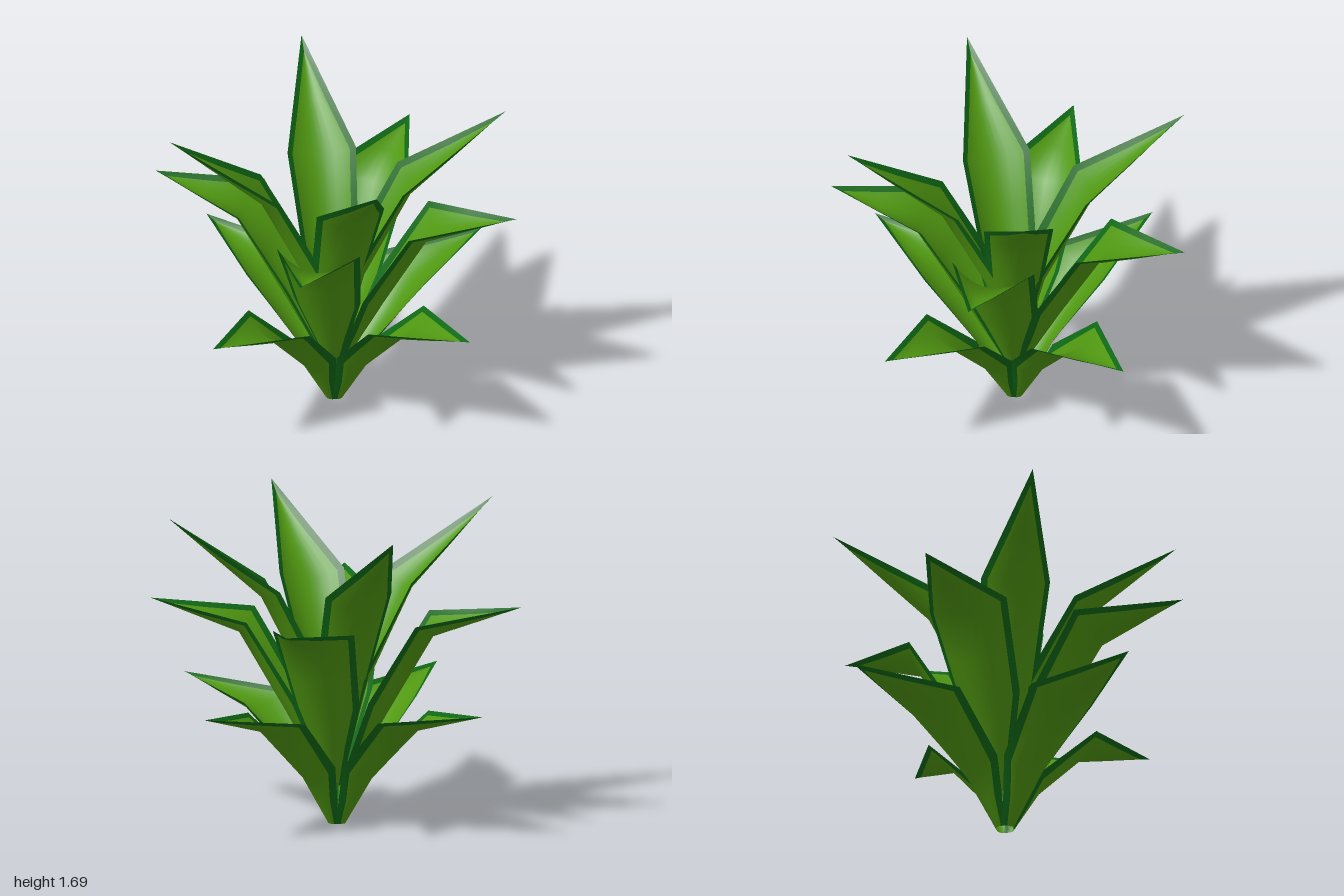
import * as THREE from 'three';

const leafGreen = new THREE.MeshStandardMaterial({ color: 0x509811, side: THREE.DoubleSide });
leafGreen.name = 'leafGreen';
const rimGreen = new THREE.MeshStandardMaterial({ color: 0x0f6816, side: THREE.DoubleSide });
rimGreen.name = 'rimGreen';

const RIM = 0.03;

// Each row: spine radius, spine height, edge radius, edge height, half width.
// angles are the headings of the four leaves in degrees, from +x towards +z.
const rings = [
  {
    name: 'lowerLeaf', angles: [29.2, 116.6, 212.7, 309.3],
    rows: [[0.05, 0, 0.025, 0, 0.04], [0.21, 0.25, 0.15, 0.34, 0.14], [0.52, 0.56, 0.45, 0.63, 0.215], [0.99, 0.7, 0.99, 0.7, 0]],
  },
  {
    name: 'middleLeaf', angles: [-0.6, 86.5, 183.4, 279.7],
    rows: [[0.05, 0.2, 0.025, 0.22, 0.04], [0.27, 0.6, 0.2, 0.69, 0.18], [0.52, 1.03, 0.46, 1.12, 0.225], [0.995, 1.2, 0.995, 1.2, 0]],
  },
  {
    name: 'upperLeaf', angles: [-18.4, 61.7, 149, 245],
    rows: [[0.05, 0.3, 0.025, 0.32, 0.04], [0.16, 0.74, 0.1, 0.83, 0.15], [0.41, 1.24, 0.35, 1.3, 0.185], [0.915, 1.69, 0.915, 1.69, 0]],
  },
];

// A cupped blade pointing along +x, with a dark band along both edges.
function leafGeometry([base, belly, shoulder, tip]) {
  const mix = (a, b, k) => a.map((v, i) => v + (b[i] - v) * k);
  const rows = [base, mix(base, belly, 0.5), belly, mix(belly, shoulder, 0.5), shoulder,
    mix(shoulder, tip, 0.45), mix(shoulder, tip, 0.86), tip];
  const inner = 8;
  const cols = inner + 3;
  const positions = [];
  rows.forEach(([sr, sy, er, ey, w], r) => {
    const band = r === 0 ? 0.55 : w > 0 ? Math.max(0.02, 1 - RIM / w) : 0;
    for (let c = 0; c < cols; c++) {
      const t = c === 0 ? -1 : c === cols - 1 ? 1 : band * (2 * (c - 1) / inner - 1);
      positions.push(sr + (er - sr) * t * t, sy + (ey - sy) * t * t, w * t);
    }
  });
  const green = [];
  const rim = [];
  for (let r = 0; r < rows.length - 1; r++) {
    for (let c = 0; c < cols - 1; c++) {
      const a = r * cols + c;
      const b = a + cols;
      const isTip = r === rows.length - 2;
      const list = c === 0 || c === cols - 2 || isTip ? rim : green;
      list.push(a, a + 1, b);
      if (!isTip) list.push(a + 1, b + 1, b);
    }
  }
  const geometry = new THREE.BufferGeometry();
  geometry.setAttribute('position', new THREE.Float32BufferAttribute(positions, 3));
  geometry.setIndex([...green, ...rim]);
  geometry.addGroup(0, green.length, 0);
  geometry.addGroup(green.length, rim.length, 1);
  geometry.computeVertexNormals();
  return geometry;
}

export function createModel() {
  const plant = new THREE.Group();
  plant.name = 'plant';
  // Three stacked rings of four leaves
  for (const { name, angles, rows } of rings) {
    const geometry = leafGeometry(rows);
    angles.forEach((angle, i) => {
      const leaf = new THREE.Mesh(geometry, [leafGreen, rimGreen]);
      leaf.name = `${name}${i + 1}`;
      leaf.rotation.y = -THREE.MathUtils.degToRad(angle);
      plant.add(leaf);
    });
  }
  return plant;
}
